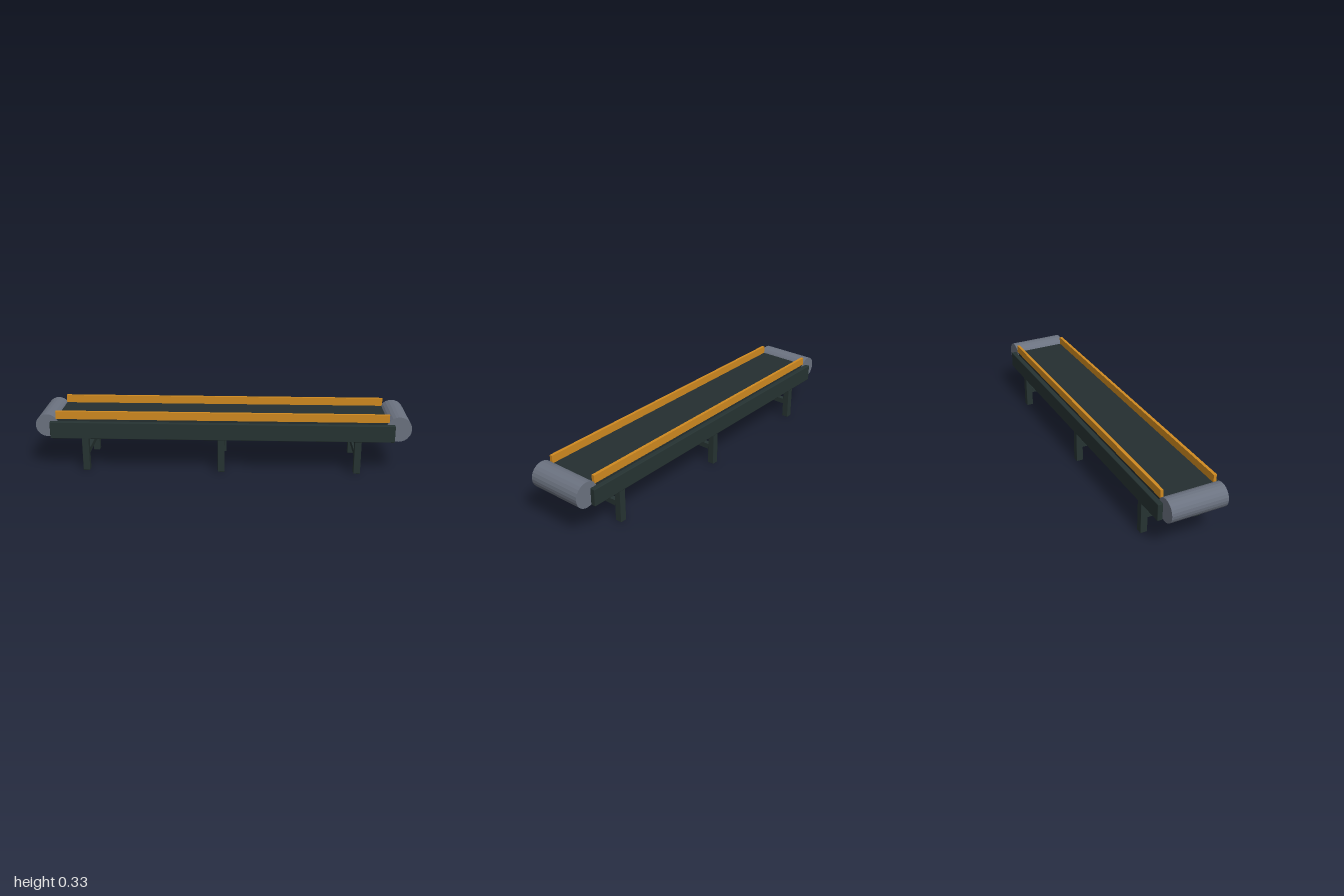
import * as THREE from 'three';
import { RoundedBoxGeometry } from 'three/addons/geometries/RoundedBoxGeometry.js';

export function createModel() {
  const model = new THREE.Group();
  model.name = 'conveyor';
  const material = (name, color) => {
    const m = new THREE.MeshStandardMaterial({ color });
    m.name = name;
    return m;
  };
  const frame = material('dark frame', 0x263332);
  const rubber = material('belt rubber', 0x242e30);
  const steel = material('roller steel', 0x6b7280);
  steel.flatShading = true;
  const orange = material('guard orange', 0xd08a20);

  const add = (name, geometry, mat, x, y, z) => {
    const mesh = new THREE.Mesh(geometry, mat);
    mesh.name = name;
    mesh.position.set(x, y, z);
    model.add(mesh);
    return mesh;
  };
  // Box given by its lower and upper corners
  const box = (name, mat, a, b, bevel = 0) => {
    const s = a.map((v, i) => b[i] - v);
    const geometry = bevel ? new RoundedBoxGeometry(...s, 1, bevel) : new THREE.BoxGeometry(...s);
    return add(name, geometry, mat, ...a.map((v, i) => (v + b[i]) / 2));
  };
  // Cylinder lying across the conveyor
  const roller = (name, x, y, radius, length, sides) =>
    add(name, new THREE.CylinderGeometry(radius, radius, length, sides).rotateX(Math.PI / 2), steel, x, y, 0);

  // Belt and end drums
  box('belt', rubber, [-0.9, 0.268, -0.148], [0.89, 0.285, 0.148]);
  roller('driveDrum', 0.932, 0.248, 0.068, 0.302, 24);
  roller('tailDrum', -0.938, 0.248, 0.062, 0.302, 24);

  // Idler rollers under the belt
  for (let i = -2; i <= 2; i++) roller('idlerRoller', -0.007 + i * 0.333, 0.237, 0.026, 0.28, 16);

  // Side rails and guards
  for (const side of [-1, 1]) {
    const rail = box('sideRail', frame, [-0.92, 0.183, -0.014], [0.91, 0.275, 0.014], 0.004);
    rail.position.z = side * 0.165;
    const guard = box('sideGuard', orange, [-0.89, 0.284, -0.008], [0.88, 0.327, 0.008]);
    guard.position.z = side * 0.143;
  }

  // Leg frames: two legs joined by a crossbar
  for (const x of [-0.735, -0.007, 0.72]) {
    for (const side of [-1, 1]) {
      const leg = box('leg', frame, [x - 0.018, 0, -0.0185], [x + 0.018, 0.19, 0.0185], 0.002);
      leg.position.z = side * 0.152;
    }
    box('crossbar', frame, [x - 0.013, 0.08, -0.136], [x + 0.013, 0.11, 0.136]);
  }
  return model;
}
